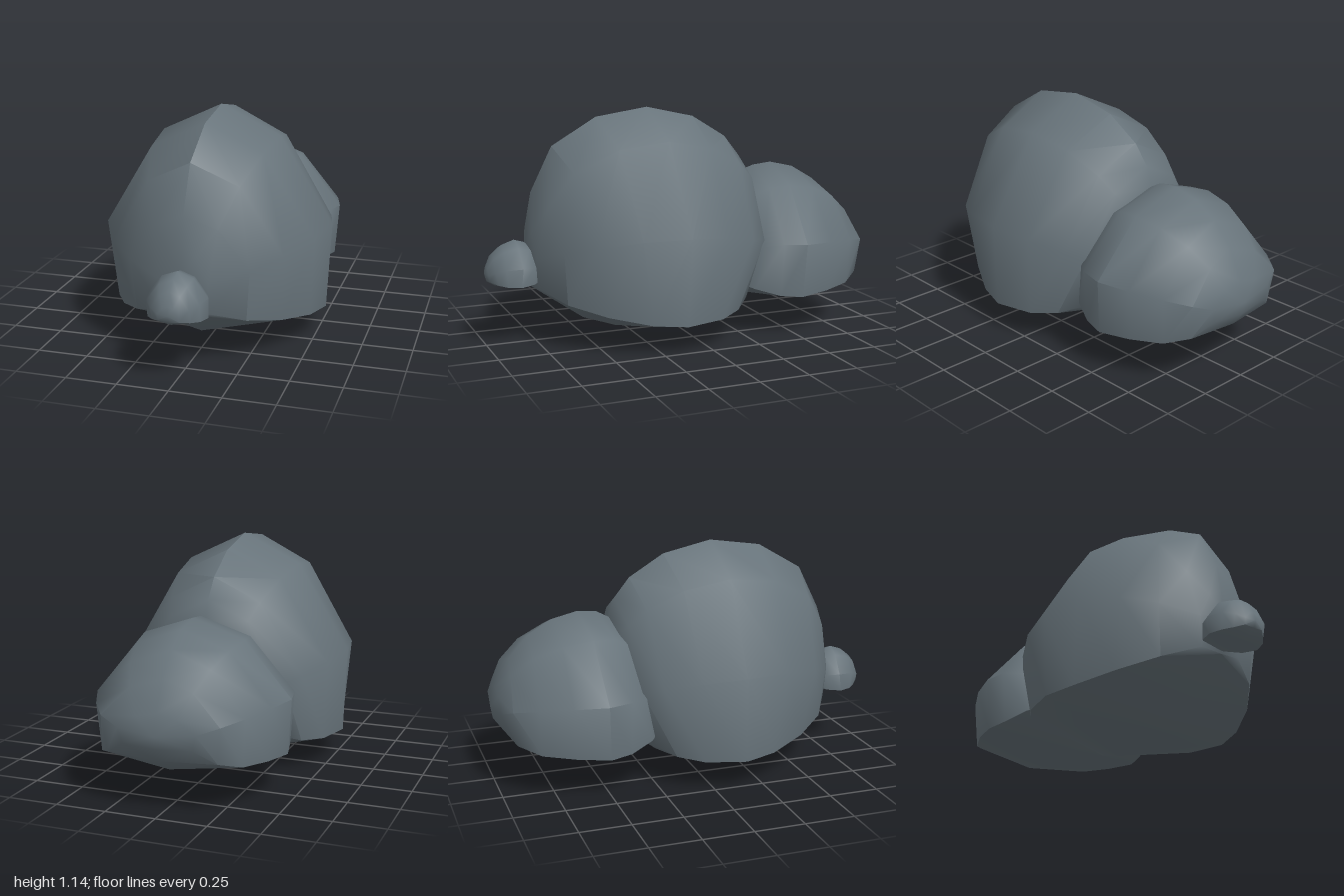
import * as THREE from 'three';
import { toCreasedNormals } from 'three/addons/utils/BufferGeometryUtils.js';

const material = new THREE.MeshStandardMaterial({ color: 0x67737a });

// One eight-sided cross-section, counter-clockwise seen from the front.
// Row: top z, y | side z, half width | bottom z, y | lower corner z, y, half width
function section([tz, ty, sz, sw, bz, by, cz, cy, cw]) {
  const sy = (ty + by) / 2;
  const hz = (tz + sz) / 2, hy = ty - 0.25 * (ty - sy), hw = 0.53 * sw;
  return [
    [0, ty, tz], [-hw, hy, hz], [-sw, sy, sz], [-cw, cy, cz],
    [0, by, bz], [cw, cy, cz], [sw, sy, sz], [hw, hy, hz],
  ];
}

// Closed boulder lofted from the front pole through the rows to the back pole
function boulder(name, front, rows, back) {
  const rings = rows.map(section);
  const last = rings.length - 1;
  const positions = [];
  const tri = (a, b, c) => positions.push(...a, ...b, ...c);
  for (let j = 0; j < 8; j++) {
    const k = (j + 1) % 8;
    tri([0, ...front], rings[0][j], rings[0][k]);
    for (let i = 0; i < last; i++) {
      const a = rings[i], b = rings[i + 1];
      // Mirror the diagonals so both halves match
      if (j < 4) {
        tri(a[j], b[j], a[k]);
        tri(a[k], b[j], b[k]);
      } else {
        tri(a[j], b[j], b[k]);
        tri(a[j], b[k], a[k]);
      }
    }
    tri([0, ...back], rings[last][k], rings[last][j]);
  }
  const geometry = new THREE.BufferGeometry();
  geometry.setAttribute('position', new THREE.Float32BufferAttribute(positions, 3));
  // Smooth shading, keeping the top ridge and lower rim sharp
  const mesh = new THREE.Mesh(toCreasedNormals(geometry, THREE.MathUtils.degToRad(48)), material);
  mesh.name = name;
  return mesh;
}

export function createModel() {
  const group = new THREE.Group();
  group.name = 'boulders';

  group.add(boulder('largeBoulder', [0.48, 0.79], [
    [0.785, 0.60, 0.77, 0.12, 0.77, 0.28, 0.76, 0.29, 0.11],
    [0.76, 0.75, 0.68, 0.29, 0.70, 0.23, 0.66, 0.235, 0.27],
    [0.65, 0.97, 0.56, 0.42, 0.50, 0.09, 0.50, 0.19, 0.40],
    [0.42, 1.105, 0.37, 0.525, 0.33, 0.03, 0.31, 0.155, 0.50],
    [0.15, 1.145, 0.14, 0.565, 0.15, 0, 0.15, 0.145, 0.545],
    [-0.10, 1.09, -0.07, 0.52, -0.02, 0.015, -0.05, 0.15, 0.50],
    [-0.28, 0.98, -0.24, 0.44, -0.15, 0.055, -0.17, 0.165, 0.42],
    [-0.36, 0.88, -0.33, 0.38, -0.22, 0.11, -0.25, 0.20, 0.34],
    [-0.39, 0.78, -0.39, 0.25, -0.28, 0.20, -0.29, 0.245, 0.22],
  ], [0.5, -0.43]));

  group.add(boulder('mediumBoulder', [0.45, -0.12], [
    [-0.26, 0.70, -0.22, 0.28, -0.20, 0.21, -0.20, 0.28, 0.27],
    [-0.34, 0.76, -0.32, 0.40, -0.28, 0.17, -0.28, 0.25, 0.38],
    [-0.45, 0.82, -0.40, 0.455, -0.38, 0.14, -0.40, 0.215, 0.435],
    [-0.55, 0.83, -0.52, 0.48, -0.51, 0.12, -0.51, 0.205, 0.46],
    [-0.68, 0.80, -0.68, 0.44, -0.67, 0.14, -0.67, 0.215, 0.42],
    [-0.80, 0.73, -0.83, 0.37, -0.84, 0.18, -0.82, 0.225, 0.35],
    [-0.90, 0.62, -0.94, 0.29, -0.94, 0.25, -0.92, 0.26, 0.27],
    [-0.97, 0.48, -0.98, 0.19, -0.99, 0.32, -0.97, 0.325, 0.17],
  ], [0.38, -1]));

  group.add(boulder('smallBoulder', [0.36, 1], [
    [0.99, 0.40, 0.99, 0.05, 0.99, 0.325, 0.985, 0.33, 0.05],
    [0.96, 0.46, 0.965, 0.09, 0.95, 0.30, 0.95, 0.318, 0.09],
    [0.91, 0.50, 0.92, 0.125, 0.91, 0.29, 0.91, 0.312, 0.125],
    [0.85, 0.52, 0.84, 0.142, 0.85, 0.28, 0.85, 0.31, 0.145],
    [0.80, 0.505, 0.78, 0.12, 0.79, 0.285, 0.78, 0.315, 0.12],
    [0.74, 0.46, 0.73, 0.08, 0.74, 0.31, 0.73, 0.33, 0.08],
  ], [0.4, 0.7]));

  return group;
}
